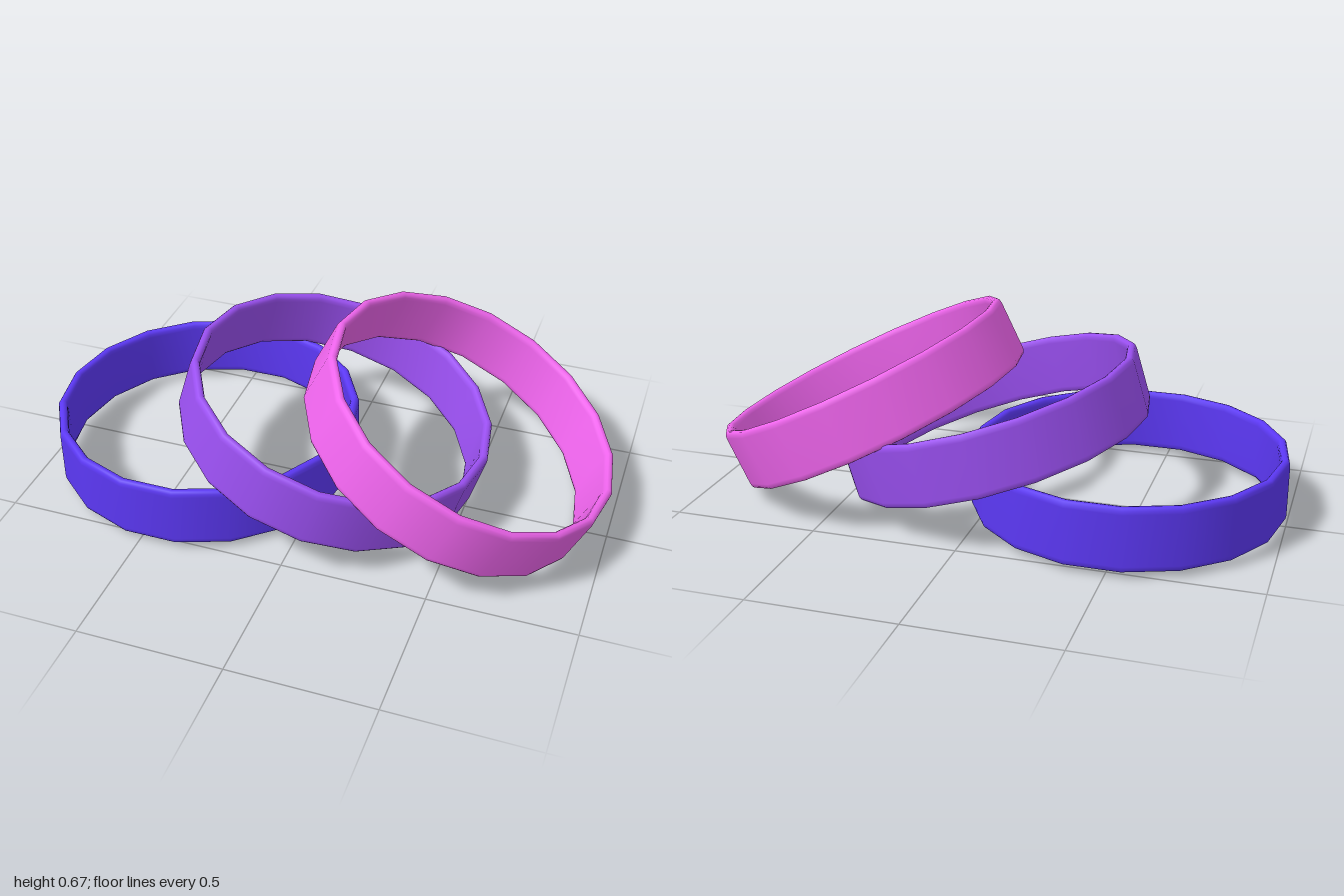
import * as THREE from 'three';

const OUTER = 0.54, INNER = 0.508, HALF = 0.11, SIDES = 18;

// Closed band cross-section with softly rounded rims, starting mid inner wall
function bandProfile() {
  const bevel = 0.011, mid = (OUTER + INNER) / 2;
  const side = (r, s) => [
    [r, s * (HALF - 2 * bevel)],
    [r + (r > mid ? -0.002 : 0.002), s * (HALF - bevel * 0.9)],
    [r + (r > mid ? -0.007 : 0.007), s * (HALF - bevel * 0.2)],
  ];
  const points = [
    [INNER, 0],
    ...side(INNER, -1), [mid, -HALF], ...side(OUTER, -1).reverse(),
    ...side(OUTER, 1), [mid, HALF], ...side(INNER, 1).reverse(),
    [INNER, 0],
  ];
  return points.map(([r, y]) => new THREE.Vector2(r, y));
}

export function createModel() {
  const group = new THREE.Group();
  const geometry = new THREE.LatheGeometry(bandProfile(), SIDES, Math.PI / 2);
  geometry.scale(1, 1, 1.014);

  // Three overlapping rings, each leaning on the one before
  const rings = [
    { name: 'blueRing', color: 0x5c38f5, x: -0.46, y: 0.135, tilt: 0 },
    { name: 'purpleRing', color: 0x9b50f2, x: 0.025, y: 0.29, tilt: 17 },
    { name: 'pinkRing', color: 0xf065ee, x: 0.47, y: 0.338, tilt: 26.4 },
  ];
  for (const { name, color, x, y, tilt } of rings) {
    const ring = new THREE.Mesh(geometry, new THREE.MeshStandardMaterial({ color }));
    ring.name = name;
    ring.position.set(x, y, 0);
    ring.rotation.z = -THREE.MathUtils.degToRad(tilt);
    group.add(ring);
  }
  return group;
}
